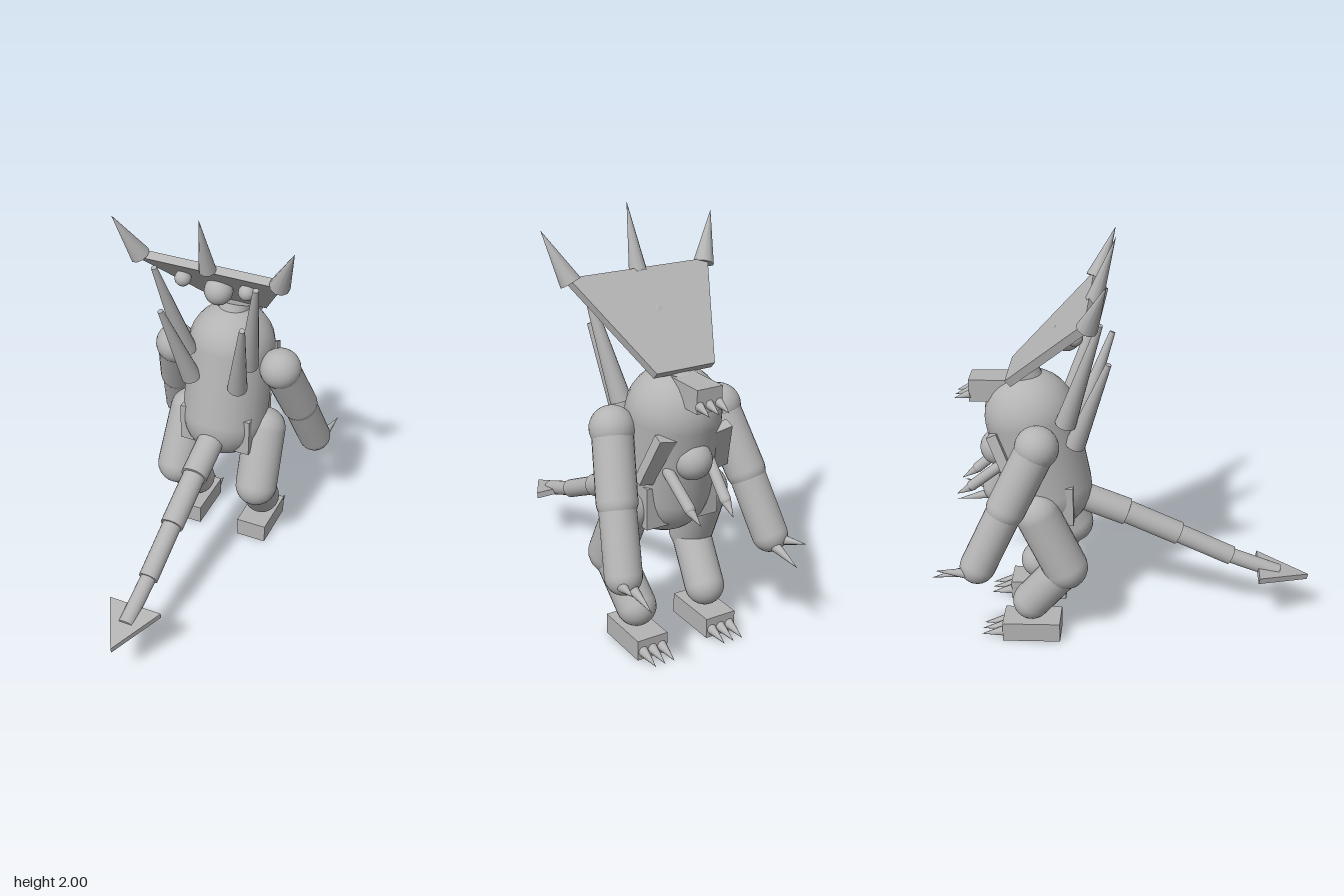
import * as THREE from 'three';

const V = (x, y, z) => new THREE.Vector3(x, y, z);
const UP = V(0, 1, 0);

export function createModel() {
  const root = new THREE.Group();
  const grey = new THREE.MeshStandardMaterial({ color: 0xb4b4b4 });
  grey.name = 'grey hide';

  function add(name, geometry, pos = V(0, 0, 0)) {
    const mesh = new THREE.Mesh(geometry, grey);
    mesh.name = name;
    mesh.position.copy(pos);
    root.add(mesh);
    return mesh;
  }
  // Lay a y-aligned geometry between two points
  function between(name, geometry, a, b) {
    const mesh = add(name, geometry, a.clone().add(b).multiplyScalar(0.5));
    mesh.quaternion.setFromUnitVectors(UP, b.clone().sub(a).normalize());
    return mesh;
  }
  const rod = (name, a, b, r0, r1 = r0, n = 20) =>
    between(name, new THREE.CylinderGeometry(r1, r0, a.distanceTo(b), n), a, b);
  const spike = (name, a, b, r) =>
    between(name, new THREE.ConeGeometry(r, a.distanceTo(b), 10), a, b);
  const limb = (name, a, b, r) =>
    between(name, new THREE.CapsuleGeometry(r, a.distanceTo(b), 8, 24), a, b);
  const ball = (name, p, r) => add(name, new THREE.SphereGeometry(r, 24, 16), p);
  const box = (name, w, h, d, p) => add(name, new THREE.BoxGeometry(w, h, d), p);
  // Flat plate from an outline, centred on its thickness
  function plate(name, points, depth, pos, tilt) {
    const shape = new THREE.Shape(points.map(p => new THREE.Vector2(...p)));
    const geometry = new THREE.ExtrudeGeometry(shape, { depth, bevelEnabled: false });
    geometry.translate(0, 0, -depth / 2);
    add(name, geometry, pos).rotation.x = tilt;
  }

  // Torso, pelvis and chest
  limb('torso', V(0, 0.75, -0.39), V(0, 1.13, -0.46), 0.22);
  box('pelvis', 0.38, 0.2, 0.3, V(0, 0.72, -0.4));
  ball('chestBulge', V(0, 0.95, -0.62), 0.09);

  // Head: neck, jaw, teeth, crest and its spikes
  rod('neck', V(0, 1.25, -0.45), V(0, 1.35, -0.49), 0.08);
  box('jaw', 0.13, 0.11, 0.3, V(0, 1.27, -0.59));
  for (const x of [-0.05, 0, 0.05])
    spike('tooth', V(x, 1.25, -0.735), V(x, 1.225, -0.815), 0.022);
  plate('crest', [[-0.15, -0.265], [0.15, -0.265], [0.365, 0.265], [-0.365, 0.265]],
    0.04, V(0, 1.525, -0.35), 0.818);
  spike('crestSpike', V(0, 1.7, -0.15), V(0, 2, -0.048), 0.042);
  ball('crestKnob', V(0, 1.525, -0.28), 0.07);

  // Mirrored parts
  for (const s of [-1, 1]) {
    const P = (x, y, z) => V(s * x, y, z);
    spike('crestSpike', P(0.35, 1.695, -0.16), P(0.445, 1.92, -0.068), 0.05);
    ball('crestKnob', P(0.163, 1.58, -0.23), 0.04);

    // Long spines on the back
    rod('backSpine', P(0.125, 1.025, -0.24), P(0.208, 1.47, -0.075), 0.05, 0.014, 16);
    rod('backSpine', P(0.165, 1.15, -0.28), P(0.255, 1.675, -0.11), 0.05, 0.014, 16);

    // Rib plates
    const rib = between('ribPlate', new THREE.BoxGeometry(0.09, 0.25, 0.05),
      P(0.19, 0.86, -0.535), P(0.145, 1.08, -0.625));
    rib.name = 'ribPlate';

    // Arm and claws
    ball('shoulder', P(0.285, 1.085, -0.405), 0.104);
    limb('upperArm', P(0.285, 1.085, -0.405), P(0.345, 0.8, -0.55), 0.094);
    limb('forearm', P(0.345, 0.8, -0.55), P(0.395, 0.515, -0.69), 0.085);
    spike('handClaw', P(0.43, 0.495, -0.73), P(0.462, 0.525, -0.88), 0.028);
    spike('handClaw', P(0.385, 0.48, -0.74), P(0.387, 0.44, -0.915), 0.028);

    // Small chest arm
    limb('chestArm', P(0.115, 0.93, -0.57), P(0.095, 0.785, -0.745), 0.026);
    spike('chestArmClaw', P(0.095, 0.775, -0.755), P(0.085, 0.73, -0.825), 0.022);

    // Leg, foot and toes
    limb('thigh', P(0.21, 0.69, -0.42), P(0.225, 0.41, -0.29), 0.108);
    limb('shin', P(0.22, 0.41, -0.29), P(0.192, 0.195, -0.465), 0.095);
    box('foot', 0.16, 0.1, 0.285, P(0.19, 0.05, -0.467));
    for (const dx of [-0.05, 0, 0.05])
      spike('toeClaw', P(0.19 + dx, 0.04, -0.605), P(0.19 + dx, 0.018, -0.72), 0.026);
  }

  // Tail: four shrinking segments and an arrow tip
  const tail = [[0.7, -0.25], [0.6, 0], [0.48, 0.26], [0.355, 0.525], [0.265, 0.765]];
  for (let i = 0; i < 4; i++)
    rod('tailSegment', V(0, ...tail[i]), V(0, ...tail[i + 1]), 0.068 - i * 0.01);
  plate('tailTip', [[-0.135, -0.13], [0.135, -0.13], [0, 0.13]],
    0.03, V(0, 0.262, 0.79), Math.atan2(0.25, -0.05));

  return root;
}
